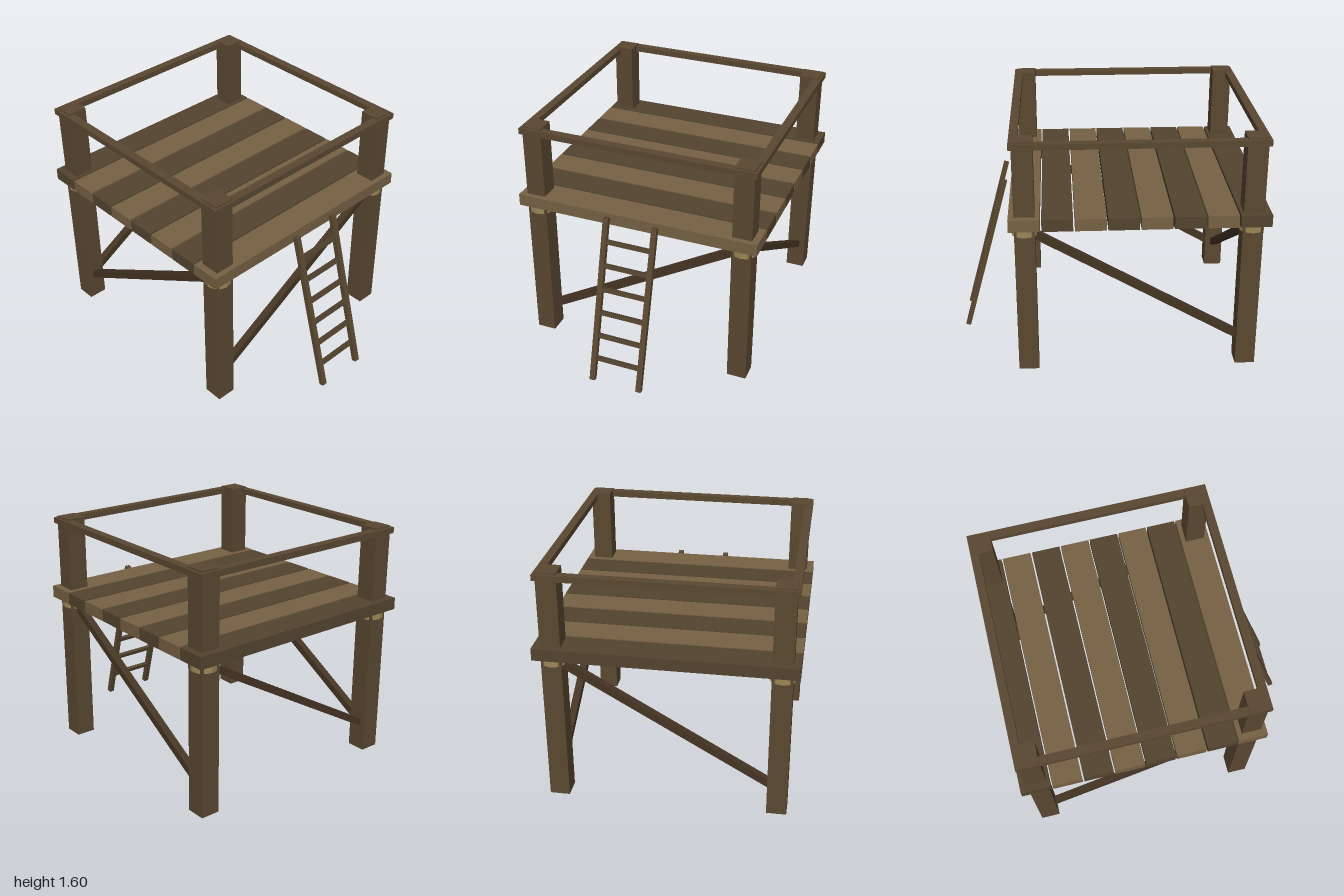
import * as THREE from 'three';

const wood = (color) => new THREE.MeshStandardMaterial({ color, flatShading: true });
const postWood = wood(0x5a4831);
const lightWood = wood(0x766144);
const darkWood = wood(0x544430);
const braceWood = wood(0x453524);
const rope = wood(0x9c8757);

const POST_X = 0.715, POST_FRONT = 0.54, POST_BACK = -0.89;
const MID_Z = (POST_FRONT + POST_BACK) / 2;

function add(parent, name, geometry, material, x, y, z) {
  const mesh = new THREE.Mesh(geometry, material);
  mesh.name = name;
  mesh.position.set(x, y, z);
  parent.add(mesh);
  return mesh;
}

const box = (parent, name, size, material, x, y, z) =>
  add(parent, name, new THREE.BoxGeometry(...size), material, x, y, z);

export function createModel() {
  const model = new THREE.Group();
  model.name = 'woodenPlatform';

  // Corner posts, each with a rope binding just under the deck
  for (const x of [-POST_X, POST_X]) {
    for (const z of [POST_FRONT, POST_BACK]) {
      box(model, 'post', [0.13, 1.592, 0.13], postWood, x, 0.806, z);
      add(model, 'ropeBinding', new THREE.CylinderGeometry(0.083, 0.083, 0.08, 12), rope, x, 1.013, z);
    }
  }

  // Deck planks in alternating shades, back to front
  const planks = 8, plankWidth = 0.196, pitch = (1.64 - plankWidth) / (planks - 1);
  for (let i = 0; i < planks; i++) {
    box(model, 'deckPlank', [1.65, 0.08, plankWidth], i % 2 ? lightWood : darkWood,
      0, 1.068, -1 + plankWidth / 2 + i * pitch);
  }

  // Hand rails, set slightly outside the posts
  for (const s of [-1, 1]) {
    box(model, 'crossRail', [1.59, 0.04, 0.055], postWood, 0, 1.572, MID_Z + s * 0.77);
    box(model, 'sideRail', [0.055, 0.038, 1.595], postWood, s * 0.77, 1.572, MID_Z);
  }

  // Diagonal braces running into the posts on all four sides
  const slope = Math.atan2(0.757, 1.3);
  for (const z of [POST_FRONT, POST_BACK]) {
    box(model, 'crossBrace', [1.6, 0.047, 0.05], braceWood, 0, 0.586, z).rotation.z = slope;
  }
  for (const x of [-POST_X, POST_X]) {
    box(model, 'sideBrace', [0.05, 0.047, 1.6], braceWood, x, 0.586, MID_Z).rotation.x = -slope;
  }

  // Leaning ladder
  const ladder = new THREE.Group();
  ladder.name = 'ladder';
  ladder.position.set(0, 0.555, 0.833);
  ladder.rotation.x = -Math.atan2(0.3, 1.1);
  for (const s of [-1, 1]) {
    box(ladder, 'ladderStile', [0.036, 1.14, 0.034], postWood, s * 0.167, 0, 0);
  }
  for (let i = 0; i < 6; i++) {
    box(ladder, 'ladderRung', [0.32, 0.027, 0.027], darkWood, 0, (i - 2.5) * 0.1637, 0);
  }
  model.add(ladder);

  return model;
}
